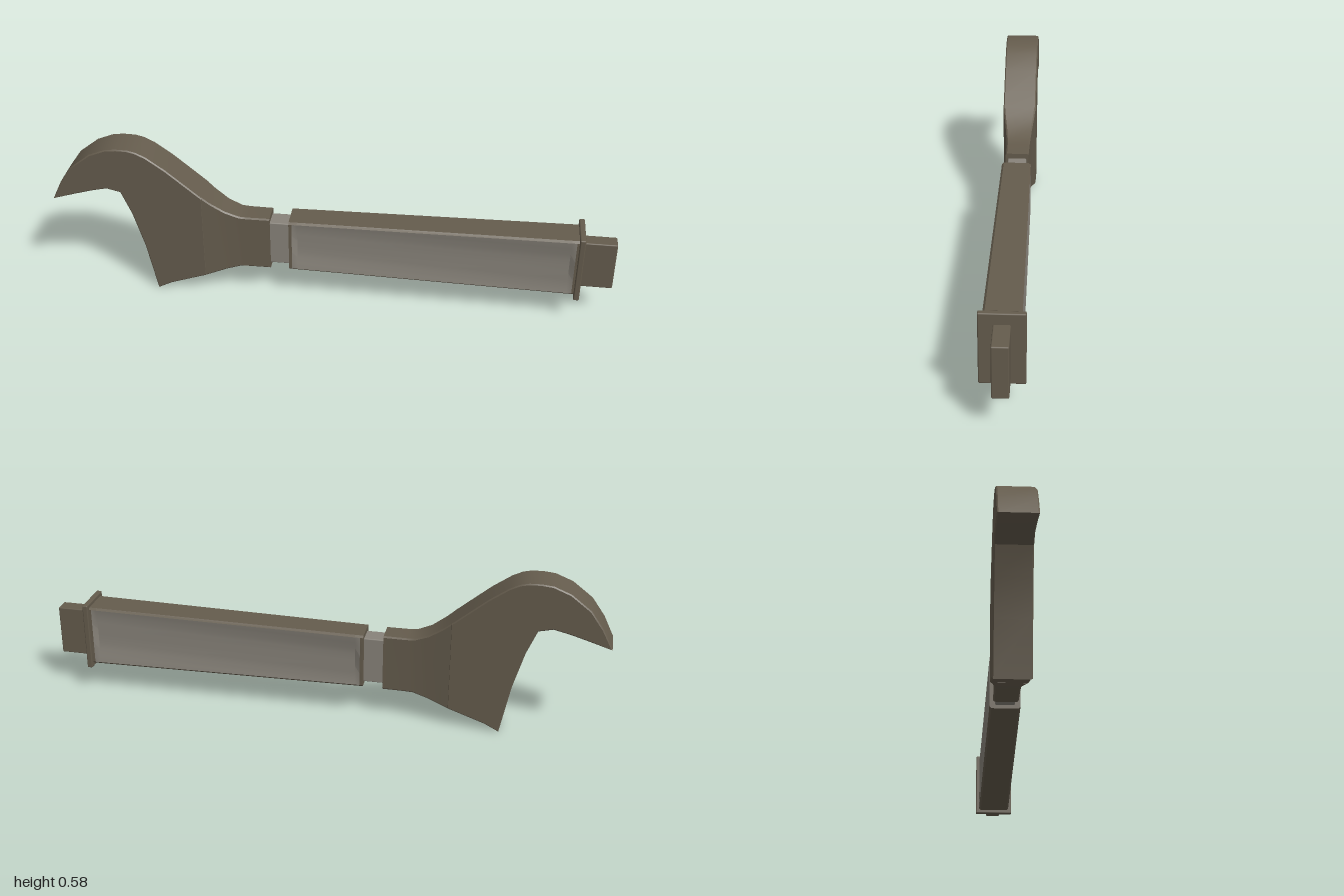
import * as THREE from 'three';
import { toCreasedNormals } from 'three/addons/utils/BufferGeometryUtils.js';
import { RoundedBoxGeometry } from 'three/addons/geometries/RoundedBoxGeometry.js';

const material = (name, color) => {
  const m = new THREE.MeshStandardMaterial({ color });
  m.name = name;
  return m;
};

// Chamfered rectangle in the y-z plane whose two sides may be dished inwards
function section(x, y0, y1, hz, c = 0.005, dish = 0, steps = 1) {
  const pts = [];
  for (const s of [1, -1]) {
    const from = s > 0 ? y1 : y0, to = s > 0 ? y0 : y1;
    pts.push([x, from, s * (c - hz)], [x, from, s * (hz - c)]);
    for (let k = 0; k <= steps; k++) {
      const t = (2 * k) / steps - 1;
      const y = THREE.MathUtils.lerp(from - s * c, to + s * c, k / steps);
      pts.push([x, y, s * (hz - dish * (1 - t * t))]);
    }
  }
  return pts;
}

// Skin over sections along +x; isPanel(i, j) sends a quad to the second material
function loft(sections, isPanel = () => false) {
  const lists = [[], []];
  const n = sections[0].length;
  const tri = (list, ...p) => p.forEach((q) => list.push(...q));
  for (let i = 0; i < sections.length - 1; i++) {
    for (let j = 0; j < n; j++) {
      const k = (j + 1) % n, A = sections[i], B = sections[i + 1];
      const list = lists[isPanel(i, j) ? 1 : 0];
      tri(list, A[j], A[k], B[k]);
      tri(list, A[j], B[k], B[j]);
    }
  }
  for (const [s, flip] of [[sections[0], true], [sections[sections.length - 1], false]]) {
    const mid = [0, 1, 2].map((a) => s.reduce((sum, p) => sum + p[a], 0) / n);
    for (let j = 0; j < n; j++) {
      const k = (j + 1) % n;
      tri(lists[0], mid, flip ? s[k] : s[j], flip ? s[j] : s[k]);
    }
  }
  const g = new THREE.BufferGeometry();
  g.setAttribute('position', new THREE.Float32BufferAttribute(lists.flat(), 3));
  g.addGroup(0, lists[0].length / 3, 0);
  if (lists[1].length) g.addGroup(lists[0].length / 3, lists[1].length / 3, 1);
  return toCreasedNormals(g, 0.45);
}

export function createModel() {
  const group = new THREE.Group();
  const brown = material('dark bronze', 0x655c4d);
  const grey = material('grey steel', 0x88837a);

  const add = (name, geometry, mat) => {
    const mesh = new THREE.Mesh(geometry, mat);
    mesh.name = name;
    group.add(mesh);
    return mesh;
  };
  const block = (name, x0, x1, y0, y1, hz, mat) => {
    const g = new RoundedBoxGeometry(x1 - x0, y1 - y0, 2 * hz, 1, 0.004);
    add(name, g, mat).position.set((x0 + x1) / 2, (y0 + y1) / 2, 0);
  };

  // Hooked jaw: flat slab with slightly bevelled edges
  const outline = [
    [-1, 0.36], [-0.93, 0.382], [-0.86, 0.403], [-0.8, 0.417], [-0.75, 0.405],
    [-0.714, 0.318], [-0.676, 0.185], [-0.64, 0.002], [-0.59, 0.028], [-0.527, 0.05],
    [-0.455, 0.075], [-0.455, 0.402], [-0.5, 0.44], [-0.58, 0.507], [-0.645, 0.553],
    [-0.68, 0.57], [-0.71, 0.577], [-0.75, 0.578], [-0.79, 0.574], [-0.85, 0.55],
    [-0.92, 0.496], [-0.965, 0.432],
  ];
  const bevel = 0.004, halfJaw = 0.062;
  const jaw = new THREE.ExtrudeGeometry(
    new THREE.Shape(outline.map(([x, y]) => new THREE.Vector2(x, y))),
    {
      depth: 2 * (halfJaw - bevel), bevelEnabled: true, bevelThickness: bevel,
      bevelSize: bevel, bevelOffset: -bevel, bevelSegments: 1,
    },
  );
  jaw.translate(0, 0, bevel - halfJaw);
  add('jaw', toCreasedNormals(jaw, 0.45), brown);

  // Neck: narrows in height and thickness towards the collar
  add('neck', loft([
    section(-0.465, 0.071, 0.411, 0.062),
    section(-0.43, 0.083, 0.381, 0.057),
    section(-0.38, 0.1, 0.346, 0.049),
    section(-0.33, 0.114, 0.326, 0.0445),
    section(-0.3, 0.115, 0.324, 0.0435),
    section(-0.22, 0.115, 0.324, 0.0425),
  ]), brown);

  block('collar', -0.23, -0.14, 0.135, 0.305, 0.034, grey);

  // Handle: widens towards the butt, with a dished grey panel on each side
  const steps = 8, perSide = steps + 3;
  const grip = (x, dish) => {
    const t = (x + 0.15) / 1.02;
    return section(x, 0.122 - 0.012 * t, 0.322 + 0.013 * t, 0.053 + 0.007 * t, 0.007, dish, steps);
  };
  const inPanel = (i, j) => {
    const k = j % perSide;
    return i > 0 && i < 4 && k >= 2 && k < 2 + steps;
  };
  add('handle', loft(
    [grip(-0.15, 0), grip(-0.139, 0), grip(-0.12, 0.01), grip(0.84, 0.01), grip(0.858, 0), grip(0.87, 0)],
    inPanel,
  ), [brown, grey]);

  // Butt plate and tang
  block('buttPlate', 0.866, 0.886, 0.097, 0.348, 0.073, brown);
  block('tang', 0.88, 1, 0.128, 0.31, 0.027, brown);

  return group;
}
